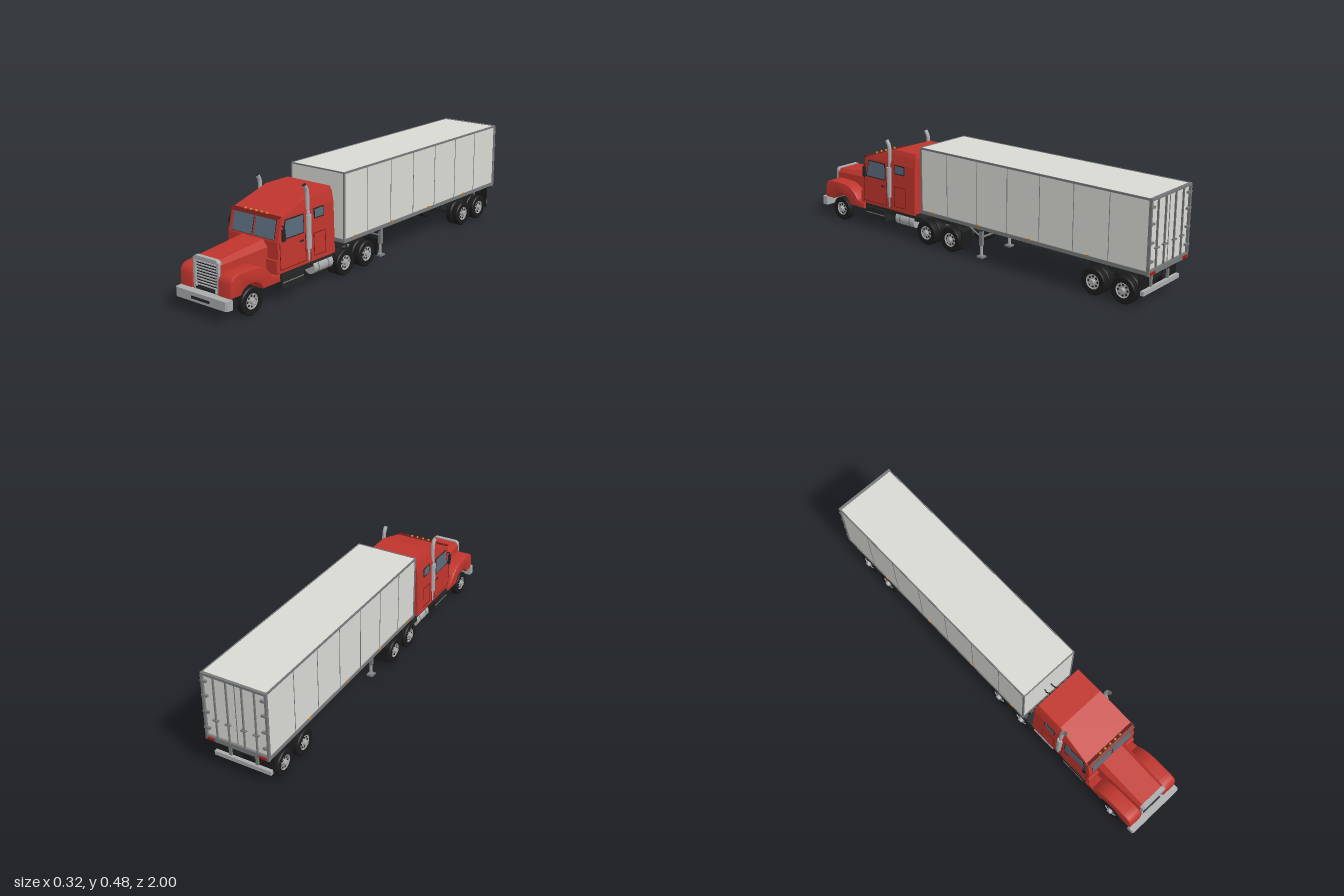
import * as THREE from 'three';
import { toCreasedNormals } from 'three/addons/utils/BufferGeometryUtils.js';
import { ConvexGeometry } from 'three/addons/geometries/ConvexGeometry.js';

const paint = (name, color) => Object.assign(new THREE.MeshStandardMaterial({ color }), { name });

export function createModel() {
  const red = paint('cabRed', 0xc0352d), white = paint('trailerWhite', 0xd9d9d4);
  const chrome = paint('chrome', 0xa9abac), steel = paint('steelGrey', 0x77797a);
  const black = paint('chassisBlack', 0x242526), rubber = paint('rubber', 0x1b1b1c);
  const glass = paint('glass', 0x5a6b7c), amber = paint('amber', 0xc9821c);
  const lamp = paint('tailRed', 0xa81a12), seam = paint('seamRed', 0x6e1c18);

  const model = new THREE.Group();
  model.name = 'truckAndTrailer';
  let parent = model;
  const section = (name) => {
    parent = new THREE.Group();
    parent.name = name;
    model.add(parent);
  };
  const add = (name, geo, mat, x = 0, y = 0, z = 0) => {
    const m = new THREE.Mesh(geo, mat);
    m.name = name;
    m.position.set(x, y, z);
    parent.add(m);
    return m;
  };
  // box given by its limits; pair repeats it on the other side
  const box = (name, mat, x0, x1, y0, y1, z0, z1) => add(name,
    new THREE.BoxGeometry(Math.abs(x1 - x0), y1 - y0, Math.abs(z1 - z0)), mat,
    (x0 + x1) / 2, (y0 + y1) / 2, (z0 + z1) / 2);
  const pair = (name, mat, x0, x1, ...r) => {
    box(name, mat, x0, x1, ...r);
    box(name, mat, -x1, -x0, ...r);
  };
  const hull = (name, mat, pts) => add(name, new ConvexGeometry(pts.map((p) => new THREE.Vector3(...p))), mat);
  // hull of points and their mirror images
  const symHull = (name, mat, pts) => hull(name, mat, pts.flatMap(([x, y, z]) => [[x, y, z], [-x, y, z]]));
  const cylX = (r, w, n = 24) => new THREE.CylinderGeometry(r, r, w, n).rotateZ(-Math.PI / 2);
  const tube = (name, mat, pts, r) => add(name, new THREE.TubeGeometry(
    new THREE.CatmullRomCurve3(pts.map((p) => new THREE.Vector3(...p))), 32, r, 12), mat);

  // ---- wheels
  const R = 0.061;
  const tyreGeo = toCreasedNormals(new THREE.LatheGeometry([
    [0.034, -0.015], [0.05, -0.0175], [0.057, -0.0165], [R, -0.012], [R, 0.012],
    [0.057, 0.0165], [0.05, 0.0175], [0.034, 0.015], [0.034, -0.015],
  ].map(([a, b]) => new THREE.Vector2(a, b)), 36).rotateZ(-Math.PI / 2), 0.6);
  const wheel = (name, side, z, dual) => {
    const outer = parent, g = new THREE.Group();
    g.name = name;
    outer.add(g);
    g.position.set(side * 0.1305, R, z);
    if (side < 0) g.rotation.y = Math.PI;
    parent = g;
    add('tyre', tyreGeo, rubber);
    add('rim', cylX(0.035, 0.022, 32), chrome);
    add('rimRing', new THREE.TorusGeometry(0.033, 0.003, 8, 32).rotateY(Math.PI / 2), chrome, 0.012);
    add('hub', cylX(0.012, 0.03, 16), chrome, 0.011);
    for (let i = 0; i < 8; i++) {
      const a = i * Math.PI / 4;
      add('rimHole', cylX(0.0052, 0.002, 10), black, 0.011, Math.sin(a) * 0.023, Math.cos(a) * 0.023);
    }
    if (dual) {
      add('innerTyre', tyreGeo, rubber, -0.038);
      add('innerRim', cylX(0.035, 0.026), black, -0.038);
    }
    parent = outer;
  };
  const axle = (z, dual) => {
    add('axle', cylX(0.011, 0.23, 12), black, 0, R, z);
    for (const s of [-1, 1]) wheel('wheel', s, z, dual);
  };

  // ---- tractor chassis
  section('tractorChassis');
  axle(0.85, false);
  axle(0.25, true);
  axle(0.095, true);
  pair('frameRail', black, 0.035, 0.055, 0.095, 0.135, 0.95, 0.02);
  for (const z of [0.9, 0.72, 0.55, 0.42, 0.3, 0.17, 0.04]) box('crossMember', black, -0.04, 0.04, 0.1, 0.125, z - 0.012, z + 0.012);
  box('engineSump', black, -0.023, 0.023, 0.044, 0.1, 0.76, 0.9);
  for (const z of [0.25, 0.095]) add('differential', new THREE.SphereGeometry(0.026, 16, 12), black, 0, R, z);
  box('cabFloor', black, -0.135, 0.135, 0.1, 0.135, 0.69, 0.325);
  pair('stepBox', black, 0.085, 0.145, 0.057, 0.112, 0.67, 0.53);
  pair('stepTread', steel, 0.144, 0.147, 0.083, 0.087, 0.665, 0.535);
  for (const s of [-1, 1]) {
    add('fuelTank', new THREE.CylinderGeometry(0.031, 0.031, 0.125, 28).rotateX(Math.PI / 2), chrome, s * 0.113, 0.09, 0.397);
    for (const z of [0.365, 0.43]) add('tankStrap', new THREE.CylinderGeometry(0.032, 0.032, 0.006, 28).rotateX(Math.PI / 2), steel, s * 0.113, 0.09, z);
  }
  pair('rearDeck', black, 0.055, 0.145, 0.105, 0.13, 0.325, 0.275);
  add('fifthWheel', new THREE.CylinderGeometry(0.08, 0.08, 0.016, 28), black, 0, 0.149, 0.16);
  pair('fifthWheelRamp', black, 0.02, 0.07, 0.13, 0.15, 0.24, 0.02);
  pair('mudFlapArm', black, 0.05, 0.148, 0.115, 0.13, 0.026, 0.014);
  pair('mudFlap', rubber, 0.076, 0.148, 0.035, 0.118, 0.023, 0.018);

  // ---- cab and sleeper
  section('cab');
  const cabX = (y) => 0.146 - (y - 0.13) * 0.03;
  symHull('cabBody', red, [[0.325, 0.13], [0.69, 0.13], [0.69, 0.265], [0.665, 0.365], [0.325, 0.365]].map(([z, y]) => [cabX(y), y, z]));
  symHull('cabRoof', red, [[0.139, 0.365, 0.325], [0.139, 0.365, 0.665], [0.13, 0.41, 0.325], [0.13, 0.41, 0.53],
    [0.123, 0.432, 0.33], [0.123, 0.432, 0.47]]);
  symHull('sunVisor', seam, [[0.136, 0.37, 0.655], [0.136, 0.372, 0.67], [0.136, 0.362, 0.685], [0.136, 0.365, 0.655]]);
  for (const x of [-0.062, -0.031, 0, 0.031, 0.062]) add('roofLamp', new THREE.SphereGeometry(0.006, 12, 8), amber, x, 0.374, 0.663);

  // flat plates that follow the sloping front and side walls
  const frontPane = (name, mat, c, d) => hull(name, mat, c.flatMap(([x, y]) => [0, d].map((o) => [x, y, 0.69 - 0.25 * (y - 0.265) + o])));
  const sidePane = (name, mat, c, d = 0.003) => {
    for (const s of [-1, 1]) hull(name, mat, c.flatMap(([z, y]) => [-0.002, d].map((o) => [s * (cabX(y) + o), y, z])));
  };
  const rect = (a, b, c, d) => [[a, c], [b, c], [b, d], [a, d]];
  for (const s of [-1, 1]) {
    frontPane('windscreenSeal', black, [[s * 0.005, 0.274], [s * 0.123, 0.274], [s * 0.121, 0.357], [s * 0.005, 0.357]], 0.002);
    frontPane('windscreen', glass, [[s * 0.007, 0.276], [s * 0.121, 0.276], [s * 0.119, 0.355], [s * 0.007, 0.355]], 0.004);
  }
  sidePane('doorWindowSeal', black, [[0.662, 0.27], [0.525, 0.27], [0.525, 0.355], [0.64, 0.355]], 0.002);
  sidePane('doorWindow', glass, [[0.655, 0.275], [0.53, 0.275], [0.53, 0.35], [0.637, 0.35]]);
  sidePane('sleeperWindowSeal', black, rect(0.392, 0.458, 0.316, 0.362), 0.002);
  sidePane('sleeperWindow', glass, rect(0.397, 0.453, 0.321, 0.357));
  for (const z of [0.515, 0.675]) sidePane('doorSeam', seam, rect(z, z + 0.003, 0.145, 0.265), 0.001);
  sidePane('doorSeam', seam, rect(0.515, 0.678, 0.143, 0.146), 0.001);
  sidePane('sleeperSeam', seam, rect(0.484, 0.488, 0.135, 0.365), 0.001);
  for (const z of [0.385, 0.46]) sidePane('hatchSeam', seam, rect(z, z + 0.003, 0.15, 0.25), 0.001);
  for (const y of [0.15, 0.25]) sidePane('hatchSeam', seam, rect(0.385, 0.463, y, y + 0.003), 0.001);
  sidePane('doorHandle', black, rect(0.53, 0.552, 0.235, 0.242));
  pair('mirror', black, 0.148, 0.157, 0.27, 0.32, 0.655, 0.672);
  for (const y of [0.275, 0.33]) pair('mirrorArm', black, 0.138, 0.154, y, y + 0.004, 0.66, 0.664);
  pair('mirrorPost', black, 0.151, 0.154, 0.265, 0.334, 0.66, 0.664);

  // exhaust stacks with angled tips
  for (const s of [-1, 1]) {
    add('muffler', new THREE.CylinderGeometry(0.014, 0.014, 0.15, 20), chrome, s * 0.141, 0.268, 0.495);
    tube('exhaustPipe', chrome, [[s * 0.139, 0.14, 0.495], [s * 0.138, 0.3, 0.495], [s * 0.136, 0.43, 0.495], [s * 0.136, 0.452, 0.498], [s * 0.136, 0.476, 0.512]], 0.0095);
    add('exhaustMouth', new THREE.CircleGeometry(0.0095, 16).rotateX(-1.05), black, s * 0.136, 0.4762, 0.5121);
    tube('airHose', black, [[s * 0.02, 0.32, 0.325], [s * 0.025, 0.3, 0.31], [s * 0.02, 0.315, 0.3], [s * 0.022, 0.298, 0.285], [s * 0.02, 0.305, 0.268]], 0.003);
  }

  // ---- hood, fenders, grille, bumper
  section('frontEnd');
  symHull('hood', red, [[0.075, 0.11, 0.95], [0.073, 0.225, 0.95], [0.06, 0.242, 0.95],
    [0.088, 0.11, 0.685], [0.084, 0.238, 0.685], [0.06, 0.268, 0.685]]);
  const arch = new THREE.Shape();
  arch.moveTo(0.965, 0.11);
  arch.lineTo(0.962, 0.165);
  arch.quadraticCurveTo(0.955, 0.193, 0.915, 0.194);
  arch.lineTo(0.83, 0.194);
  arch.quadraticCurveTo(0.765, 0.188, 0.73, 0.13);
  arch.lineTo(0.685, 0.12);
  arch.lineTo(0.685, 0.1);
  arch.lineTo(0.765, 0.1);
  arch.absarc(0.85, 0.065, 0.078, Math.PI - 0.46, 0.6, true);
  arch.lineTo(0.965, 0.11);
  const fenderGeo = toCreasedNormals(new THREE.ExtrudeGeometry(arch, {
    depth: 0.062, bevelThickness: 0.006, bevelSize: 0.005, bevelSegments: 3, curveSegments: 16,
  }).rotateY(-Math.PI / 2), 0.5);
  for (const s of [-1, 1]) add('fender', fenderGeo, red, s > 0 ? 0.141 : -0.079);
  pair('cowlSide', red, 0.08, 0.144, 0.12, 0.19, 0.7, 0.685);

  const frame = new THREE.Shape([[-0.075, 0.105], [0.075, 0.105], [0.072, 0.236], [0.06, 0.247], [-0.06, 0.247], [-0.072, 0.236]]
    .map((p) => new THREE.Vector2(...p)));
  frame.holes.push(new THREE.Path([[-0.063, 0.112], [-0.061, 0.23], [0.061, 0.23], [0.063, 0.112]].map((p) => new THREE.Vector2(...p))));
  add('grilleFrame', new THREE.ExtrudeGeometry(frame, { depth: 0.02, bevelEnabled: false }), chrome, 0, 0, 0.943);
  box('grilleBack', black, -0.063, 0.063, 0.108, 0.232, 0.945, 0.953);
  for (let i = 0; i < 9; i++) box('grilleBar', chrome, -0.062, 0.062, 0.1205 + i * 0.0125, 0.1245 + i * 0.0125, 0.952, 0.96);
  box('grillePlate', black, -0.055, 0.055, 0.106, 0.116, 0.96, 0.967);
  pair('grillePlateEnd', chrome, 0.055, 0.062, 0.104, 0.126, 0.958, 0.968);
  symHull('bumper', chrome, [[0.148, 0.058, 0.962], [0.148, 0.103, 0.962], [0.148, 0.06, 0.992], [0.148, 0.101, 0.992],
    [0.14, 0.06, 0.998], [0.14, 0.101, 0.998]]);
  box('bumperSlot', black, -0.052, 0.052, 0.072, 0.084, 0.996, 1.0);

  // ---- trailer body
  section('trailer');
  box('trailerBody', white, -0.152, 0.152, 0.17, 0.481, 0.268, -0.986);
  pair('roofRail', steel, 0.15, 0.155, 0.474, 0.483, 0.27, -0.99);
  pair('floorRail', steel, 0.148, 0.156, 0.158, 0.175, 0.27, -0.99);
  box('frontTopRail', steel, -0.155, 0.155, 0.477, 0.483, 0.271, 0.266);
  box('frontBottomRail', steel, -0.155, 0.155, 0.158, 0.175, 0.271, 0.262);
  pair('frontPost', steel, 0.149, 0.155, 0.16, 0.482, 0.271, 0.262);
  box('trailerFloor', steel, -0.15, 0.15, 0.16, 0.17, 0.266, -0.986);
  for (let i = 0; i < 6; i++) pair('panelSeam', steel, 0.15, 0.1535, 0.175, 0.475, 0.104 - i * 0.18, 0.1015 - i * 0.18);
  for (const z of [0.2, -0.08, -0.38, -0.69]) pair('sideMarker', amber, 0.154, 0.158, 0.171, 0.179, z, z - 0.014);

  // rear doors
  pair('rearPost', steel, 0.147, 0.156, 0.155, 0.483, -0.984, -0.997);
  box('rearHeader', steel, -0.15, 0.15, 0.472, 0.483, -0.984, -0.997);
  box('rearSill', steel, -0.15, 0.15, 0.155, 0.178, -0.984, -0.997);
  box('doorGap', steel, -0.0015, 0.0015, 0.178, 0.472, -0.986, -0.988);
  for (const x of [0.035, 0.095]) {
    pair('lockRod', steel, x, x + 0.005, 0.172, 0.478, -0.988, -0.996);
    pair('lockHandle', steel, x - 0.01, x + 0.016, 0.262, 0.268, -0.988, -1.0);
  }
  for (const y of [0.21, 0.29, 0.37, 0.44]) pair('doorHinge', steel, 0.128, 0.158, y, y + 0.009, -0.988, -0.999);
  pair('tailLamp', lamp, 0.11, 0.145, 0.158, 0.17, -0.996, -1.0);

  // underframe, bogie and rear guard
  section('trailerUnderframe');
  pair('mainBeam', black, 0.04, 0.055, 0.128, 0.161, 0.2, -0.97);
  for (let z = 0.2; z > -0.98; z -= 0.097) box('floorBeam', black, -0.146, 0.146, 0.146, 0.161, z, z - 0.012);
  box('couplerPlate', black, -0.12, 0.12, 0.155, 0.162, 0.25, 0.02);
  axle(-0.72, true);
  axle(-0.87, true);
  pair('bogieRail', black, 0.035, 0.058, 0.09, 0.135, -0.64, -0.95);
  for (const z of [-0.66, -0.795, -0.93]) box('bogieCross', black, -0.058, 0.058, 0.095, 0.12, z - 0.012, z + 0.012);
  pair('mudFlap', rubber, 0.076, 0.148, 0.045, 0.155, -0.944, -0.948);
  pair('guardPost', steel, 0.06, 0.072, 0.065, 0.16, -0.95, -0.96);
  box('rearGuard', chrome, -0.14, 0.14, 0.058, 0.078, -0.952, -0.968);

  // landing gear
  pair('landingLeg', steel, 0.094, 0.11, 0.06, 0.16, -0.056, -0.074);
  pair('landingLegFoot', chrome, 0.097, 0.107, 0.006, 0.07, -0.06, -0.07);
  pair('footPlate', steel, 0.086, 0.118, 0, 0.008, -0.048, -0.082);
  box('legBrace', steel, -0.1, 0.1, 0.095, 0.103, -0.062, -0.068);
  for (const s of [-1, 1]) tube('legStrut', steel, [[s * 0.102, 0.1, -0.062], [s * 0.098, 0.128, 0.0], [s * 0.094, 0.156, 0.06]], 0.004);
  return model;
}
